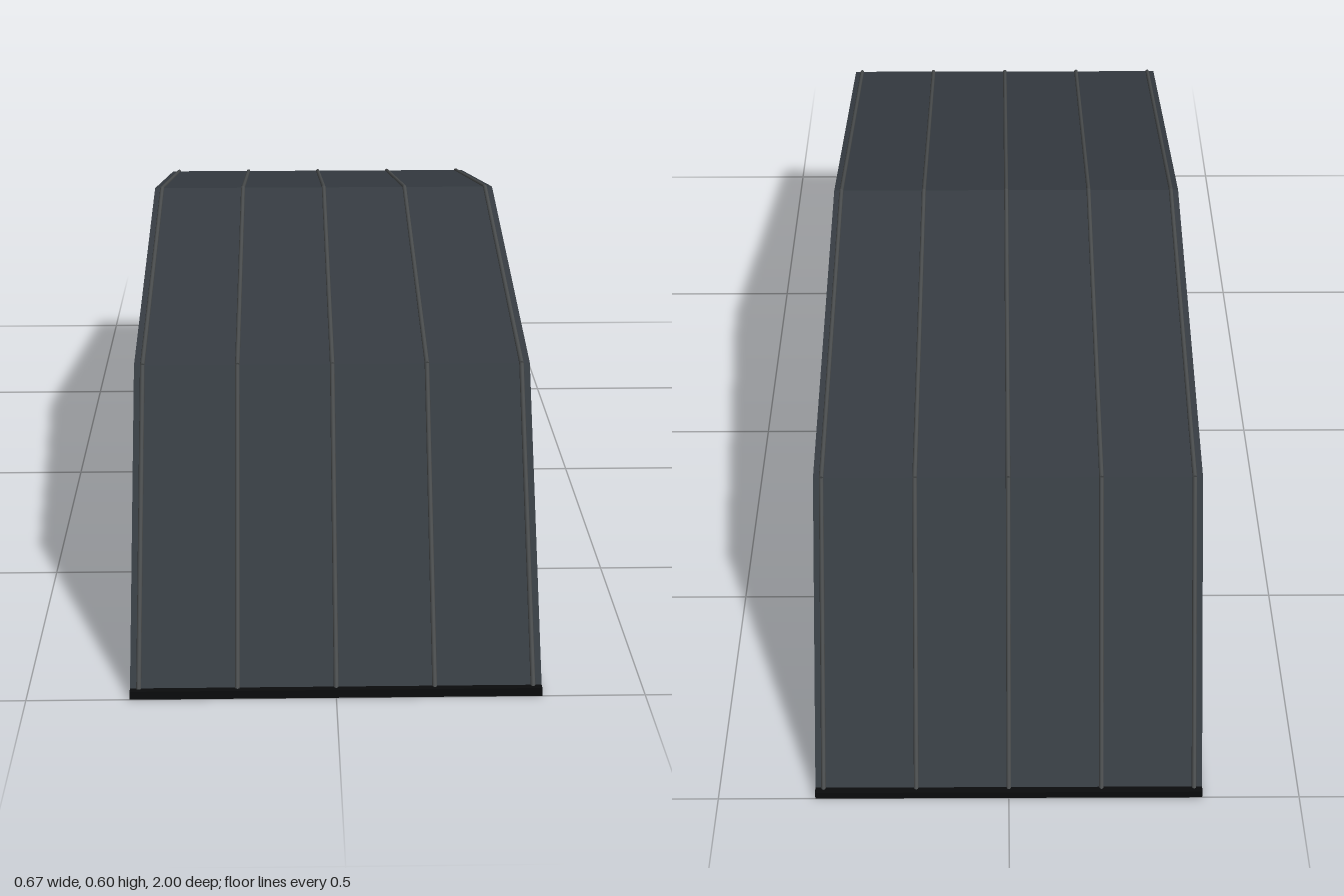
import * as THREE from 'three';

const HALF_WIDTH = 0.333;
// roof section as [z, y], front eave to back eave
const PROFILE = [[0.997, 0], [0.7, 0.467], [0, 0.6], [-0.7, 0.467], [-0.997, 0]];

export function createModel() {
  const group = new THREE.Group();
  const slate = new THREE.MeshStandardMaterial({ color: 0x363c42 });
  slate.name = 'slate grey';
  const seamGrey = new THREE.MeshStandardMaterial({ color: 0x4a4d4e });
  seamGrey.name = 'seam grey';
  const black = new THREE.MeshStandardMaterial({ color: 0x0b0c0d });
  black.name = 'eave black';

  const add = (parent, name, geometry, material) => {
    const mesh = new THREE.Mesh(geometry, material);
    mesh.name = name;
    parent.add(mesh);
    return mesh;
  };

  // solid gambrel body, extruded across the width
  const shape = new THREE.Shape(PROFILE.map(([z, y]) => new THREE.Vector2(-z, y)));
  const body = new THREE.ExtrudeGeometry(shape, { depth: HALF_WIDTH * 2, bevelEnabled: false });
  body.translate(0, 0, -HALF_WIDTH).rotateY(Math.PI / 2);
  add(group, 'roofBody', body, slate);

  // standing seams: thin round rods following the slopes
  const up = new THREE.Vector3(0, 1, 0);
  for (let i = -2; i <= 2; i++) {
    const seam = new THREE.Group();
    seam.name = 'standingSeam';
    seam.position.x = i * 0.1595;
    group.add(seam);
    for (let k = 0; k < PROFILE.length - 1; k++) {
      const a = new THREE.Vector3(0, PROFILE[k][1], PROFILE[k][0]);
      const b = new THREE.Vector3(0, PROFILE[k + 1][1], PROFILE[k + 1][0]);
      // keep the eave ends just above the ground
      if (k === 0) a.lerp(b, 0.012);
      if (k === PROFILE.length - 2) b.lerp(a, 0.012);
      const dir = b.clone().sub(a);
      const rod = add(seam, 'seamRod', new THREE.CylinderGeometry(0.004, 0.004, dir.length(), 8), seamGrey);
      rod.position.copy(a).add(b).multiplyScalar(0.5);
      rod.quaternion.setFromUnitVectors(up, dir.normalize());
    }
  }

  // black drip edges along both eaves
  for (const s of [1, -1]) {
    const edge = add(group, s > 0 ? 'frontEave' : 'backEave',
      new THREE.BoxGeometry(HALF_WIDTH * 2, 0.014, 0.012), black);
    edge.position.set(0, 0.007, s * 0.994);
  }
  return group;
}
